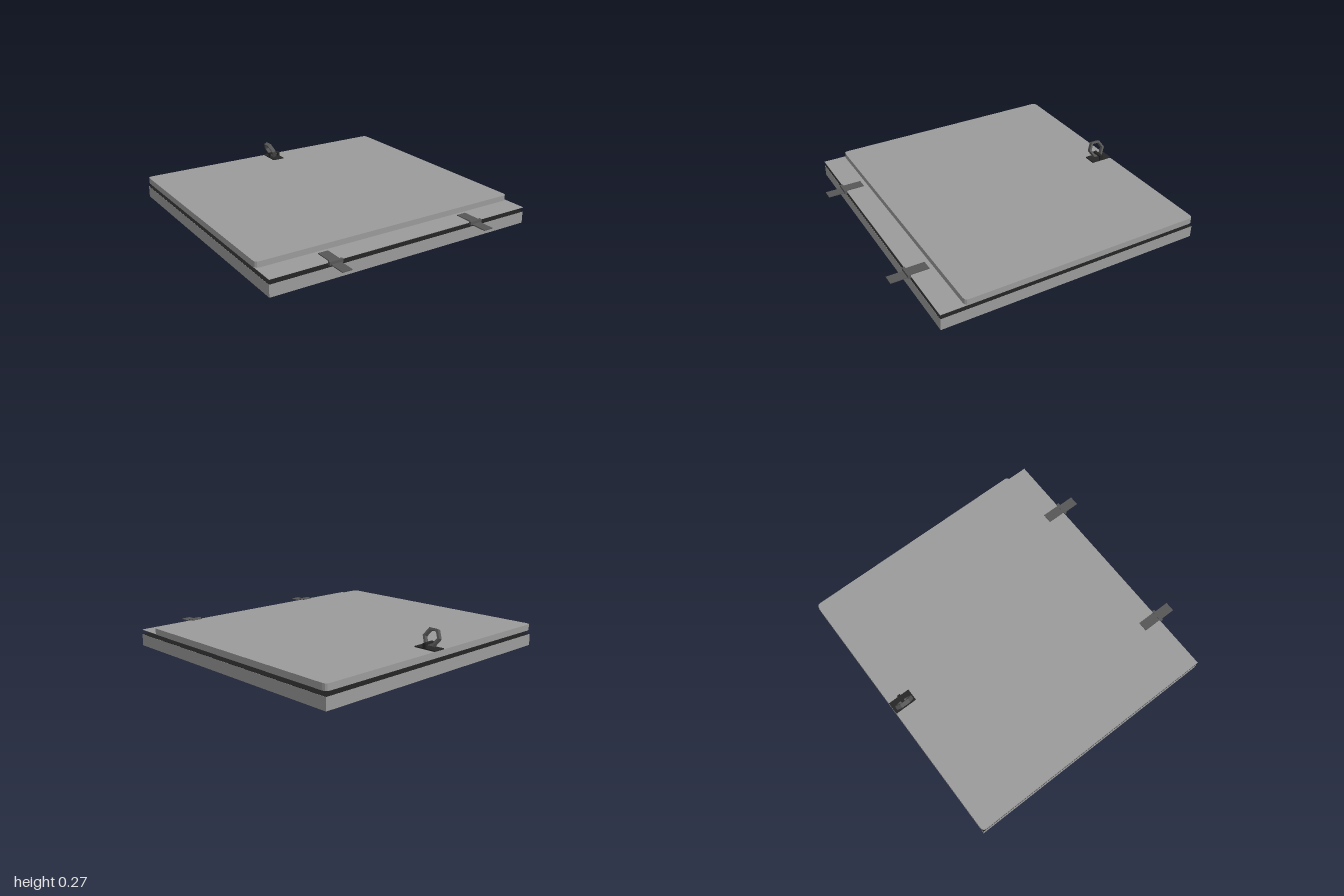
import * as THREE from 'three';

const grey = new THREE.MeshStandardMaterial({ color: 0x9b9b9b });
const steel = new THREE.MeshStandardMaterial({ color: 0x575757 });
const iron = new THREE.MeshStandardMaterial({ color: 0x262626 });
const rubber = new THREE.MeshStandardMaterial({ color: 0x202020 });

function add(parent, name, geometry, material = grey) {
  const mesh = new THREE.Mesh(geometry, material);
  mesh.name = name;
  parent.add(mesh);
  return mesh;
}

// Box given by its minimum and maximum on each axis
function box(x0, x1, y0, y1, z0, z1) {
  return new THREE.BoxGeometry(x1 - x0, y1 - y0, z1 - z0)
    .translate((x0 + x1) / 2, (y0 + y1) / 2, (z0 + z1) / 2);
}

// Rectangle in plan with small corner radius r
function outline(C, hx, z0, z1, r = 0) {
  const s = new C();
  const a = -z1, b = -z0;
  s.moveTo(-hx + r, a);
  s.lineTo(hx - r, a);
  if (r) s.quadraticCurveTo(hx, a, hx, a + r);
  s.lineTo(hx, b - r);
  if (r) s.quadraticCurveTo(hx, b, hx - r, b);
  s.lineTo(-hx + r, b);
  if (r) s.quadraticCurveTo(-hx, b, -hx, b - r);
  s.lineTo(-hx, a + r);
  if (r) s.quadraticCurveTo(-hx, a, -hx + r, a);
  return s;
}

// Raise a plan shape from y0 to y1
function slab(shape, y0, y1) {
  return new THREE.ExtrudeGeometry(shape, { depth: y1 - y0, bevelEnabled: false, curveSegments: 3 })
    .rotateX(-Math.PI / 2).translate(0, y0, 0);
}

// Rectangular ring in plan, w wide, around the opening
function surround(hx, z0, z1, w) {
  const s = outline(THREE.Shape, hx + w, z0 - w, z1 + w);
  s.holes.push(outline(THREE.Path, hx, z0, z1));
  return s;
}

function hexagon(C, r) {
  const s = new C();
  for (let i = 0; i < 6; i++) {
    const a = i * Math.PI / 3;
    if (i) s.lineTo(r * Math.cos(a), r * Math.sin(a));
    else s.moveTo(r, 0);
  }
  s.closePath();
  return s;
}

export function createModel() {
  const model = new THREE.Group();
  model.name = 'hatch';

  // Base frame around the opening, with a dark lining and a dark top seal
  const frame = outline(THREE.Shape, 0.983, -1, 0.87);
  frame.holes.push(outline(THREE.Path, 0.823, -0.843, 0.713));
  add(model, 'baseFrame', slab(frame, 0, 0.081));
  add(model, 'openingLining', slab(surround(0.82, -0.84, 0.71, 0.003), 0.0005, 0.08), rubber);
  add(model, 'frameSeal', slab(surround(0.8, -0.817, 0.687, 0.182), 0.081, 0.083), rubber);

  // Plug seated in the opening, with a thin sealing lip
  add(model, 'plug', box(-0.82, 0.82, 0.035, 0.112, -0.83, 0.705));
  add(model, 'sealLip', box(-0.82, 0.82, 0.082, 0.087, -0.88, 0.75), rubber);

  // Thin sheet reaching out to the hinges, dark below, and the lid on it
  add(model, 'hingeSheet', box(-0.983, 0.983, 0.111, 0.114, 0.66, 0.87));
  add(model, 'sheetUnderside', box(-0.97, 0.97, 0.109, 0.1112, -0.985, 0.868), rubber);
  add(model, 'lid', slab(outline(THREE.Shape, 0.983, -1, 0.71, 0.03), 0.11, 0.153));

  // Strap hinges
  for (const side of [-1, 1]) {
    const hinge = new THREE.Group();
    hinge.name = side > 0 ? 'leftHinge' : 'rightHinge';
    hinge.position.x = side * 0.543 - 0.004;
    add(hinge, 'innerStrap', box(-0.035, 0.035, 0.113, 0.12, 0.74, 0.88), steel);
    add(hinge, 'outerStrap', box(-0.035, 0.035, 0.099, 0.105, 0.87, 1), steel);
    add(hinge, 'knuckle', box(-0.047, 0.047, 0.1, 0.123, 0.868, 0.888), steel);
    model.add(hinge);
  }

  // Pull handle: plate, staple and tilted hexagonal ring
  const handle = new THREE.Group();
  handle.name = 'pullHandle';
  add(handle, 'handlePlate', box(-0.012, 0.077, 0.15, 0.16, -1, -0.84), iron);
  const z0 = -0.929, z1 = -0.905;
  add(handle, 'stapleTop', box(-0.01, 0.077, 0.181, 0.192, z0, z1), iron);
  for (const x of [-0.01, 0.066]) {
    add(handle, 'stapleLeg', box(x, x + 0.011, 0.158, 0.184, z0, z1), iron);
  }
  const hex = hexagon(THREE.Shape, 0.065);
  hex.holes.push(hexagon(THREE.Path, 0.048));
  const ringGeometry = new THREE.ExtrudeGeometry(hex, { depth: 0.028, bevelEnabled: false })
    .translate(0, 0, -0.014).rotateY(Math.PI / 2);
  const ring = add(handle, 'ring', ringGeometry, steel);
  ring.rotation.z = 0.43;
  ring.position.set(0.002, 0.217, -0.917);
  model.add(handle);

  return model;
}
